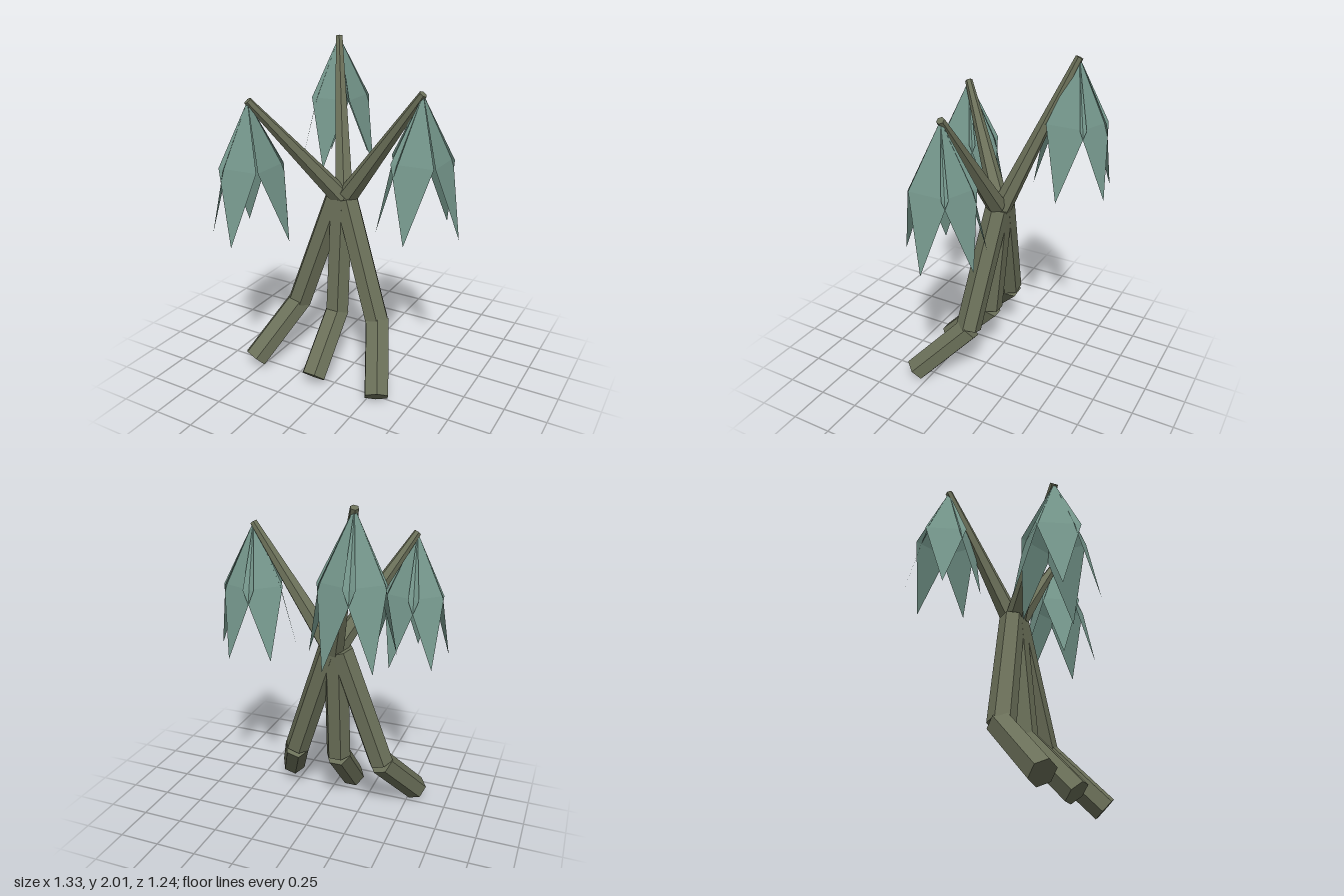
import * as THREE from 'three';

const bark = new THREE.MeshStandardMaterial({ color: 0x6b7059 });
bark.name = 'mossy bark';
bark.flatShading = true;
const foliage = new THREE.MeshStandardMaterial({ color: 0x75978c });
foliage.name = 'blue green foliage';
foliage.flatShading = true;
foliage.side = THREE.DoubleSide;

const UP = new THREE.Vector3(0, 1, 0);

// Six-sided tapered limb between two points
function limb(name, from, to, r0, r1) {
  const a = new THREE.Vector3(...from);
  const b = new THREE.Vector3(...to);
  const dir = b.clone().sub(a);
  const geo = new THREE.CylinderGeometry(r1, r0, dir.length(), 6, 1, false, Math.PI / 2);
  const mesh = new THREE.Mesh(geo, bark);
  mesh.name = name;
  mesh.quaternion.setFromUnitVectors(UP, dir.normalize());
  mesh.position.copy(a).add(b).multiplyScalar(0.5);
  return mesh;
}

// Kite-shaped drooping leaf: apex, two shoulders, hanging tip
function leafGeometry() {
  const apex = [0, 0, 0];
  const left = [0.138, -0.36, -0.122];
  const right = [0.138, -0.36, 0.122];
  const tip = [0.242, -0.78, 0];
  const geo = new THREE.BufferGeometry();
  geo.setAttribute('position', new THREE.Float32BufferAttribute(
    [apex, right, left, left, right, tip].flat(), 3));
  geo.computeVertexNormals();
  return geo;
}

export function createModel() {
  const model = new THREE.Group();
  model.name = 'tree';

  // Stilt roots: foot x, knee x, top x
  const roots = [
    ['rightRoot', -0.54, -0.385, -0.14],
    ['middleRoot', -0.107, -0.107, -0.107],
    ['leftRoot', 0.328, 0.173, -0.073],
  ];
  for (const [name, footX, kneeX, topX] of roots) {
    const root = new THREE.Group();
    root.name = name;
    root.add(
      limb('lowerRoot', [footX, 0.052, 0.325], [kneeX, 0.375, 0.025], 0.078, 0.078),
      limb('upperRoot', [kneeX, 0.375, 0.03], [topX, 1.1, -0.035], 0.078, 0.074),
    );
    model.add(root);
  }

  // Branches, each ending in a crown of five leaves
  const branches = [
    ['backBranch', [-0.095, 1.09, -0.045], [-0.328, 1.993, -0.398]],
    ['leftBranch', [-0.06, 1.13, -0.035], [0.428, 1.79, 0.025]],
    ['rightBranch', [-0.11, 1.11, -0.03], [-0.455, 1.728, 0.375]],
  ];
  const leaf = leafGeometry();
  const leafAngles = [0, 86, 150, 226, 289];
  for (const [name, base, tip] of branches) {
    model.add(limb(name, base, tip, 0.062, 0.023));
    const crown = new THREE.Group();
    crown.name = name.replace('Branch', 'Crown');
    crown.position.set(...tip);
    for (const deg of leafAngles) {
      const mesh = new THREE.Mesh(leaf, foliage);
      mesh.name = 'leaf';
      mesh.rotation.y = -THREE.MathUtils.degToRad(deg);
      crown.add(mesh);
    }
    model.add(crown);
  }
  return model;
}
